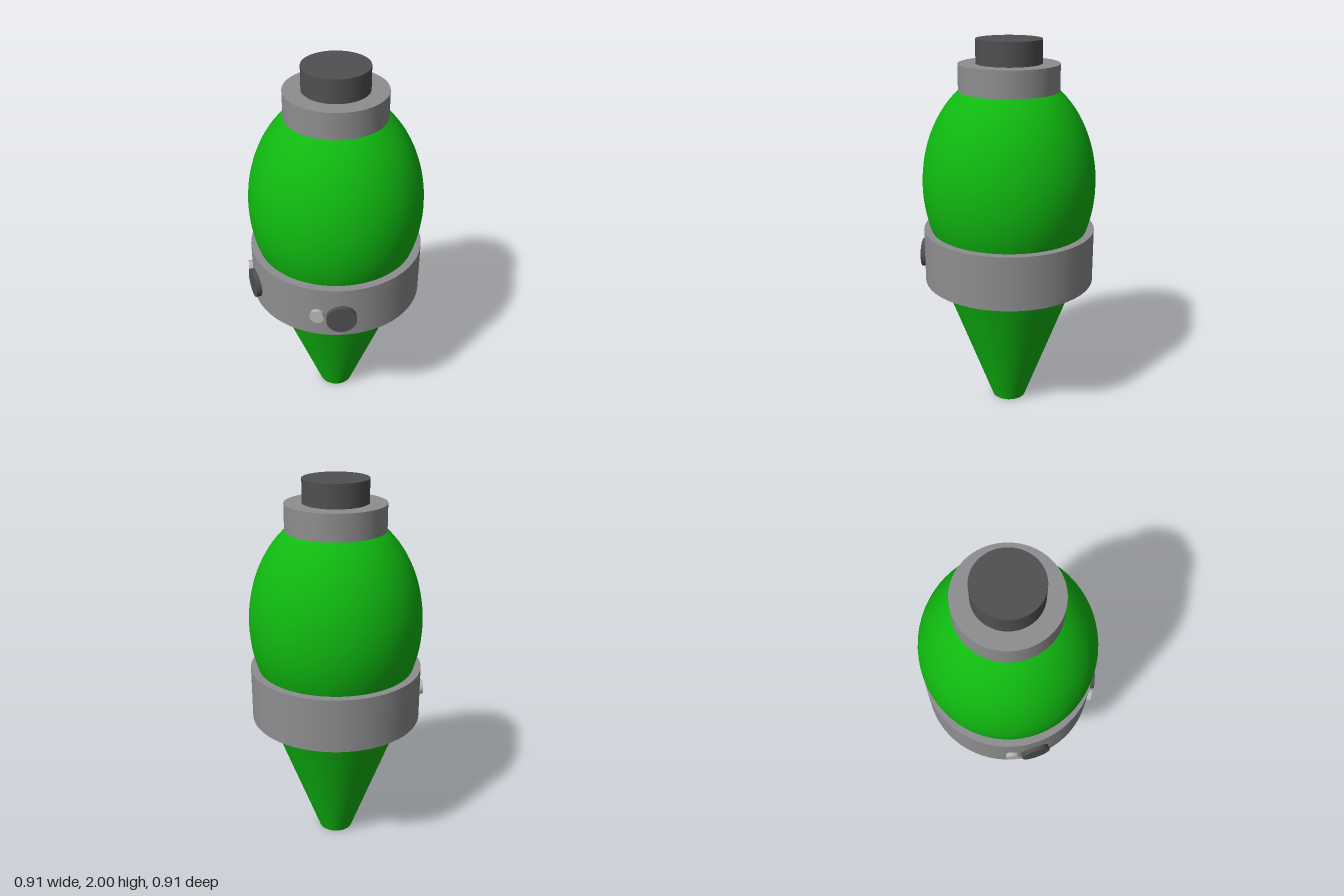
import * as THREE from 'three';

const paint = (color) => new THREE.MeshStandardMaterial({ color });

export function createModel() {
  const model = new THREE.Group();
  const green = paint(0x10b810);
  const grey = paint(0x8e8e90);
  const dark = paint(0x505052);
  const light = paint(0xb4b4b0);

  // Upright round part spanning y0 to y1
  function drum(name, rBottom, rTop, y0, y1, material) {
    const mesh = new THREE.Mesh(new THREE.CylinderGeometry(rTop, rBottom, y1 - y0, 64), material);
    mesh.name = name;
    mesh.position.y = (y0 + y1) / 2;
    model.add(mesh);
  }

  // Tapered base, its wide end hidden inside the band
  drum('taperedBase', 0.092, 0.388, 0, 0.8, green);

  // Egg-shaped body
  const body = new THREE.Mesh(new THREE.SphereGeometry(1, 64, 48), green);
  body.name = 'body';
  body.scale.set(0.452, 0.59, 0.452);
  body.position.y = 1.26;
  model.add(body);

  // Band, collar and cap
  drum('band', 0.453, 0.453, 0.73, 1.017, grey);
  drum('collar', 0.258, 0.258, 1.74, 1.88, grey);
  drum('cap', 0.168, 0.168, 1.88, 2, dark);

  // Round button on the band, facing outward at an angle from the front
  function button(name, degrees, y, radius, material) {
    const pivot = new THREE.Group();
    pivot.name = name;
    pivot.rotation.y = THREE.MathUtils.degToRad(degrees);
    const disc = new THREE.Mesh(new THREE.CylinderGeometry(radius, radius, 0.04, 32), material);
    disc.rotation.x = Math.PI / 2;
    disc.position.set(0, y, 0.454);
    pivot.add(disc);
    model.add(pivot);
  }
  button('rightLargeButton', -36, 0.845, 0.077, dark);
  button('leftLargeButton', 36, 0.845, 0.077, dark);
  button('rightSmallButton', -51.5, 0.858, 0.037, light);
  button('leftSmallButton', 20.7, 0.858, 0.037, light);

  return model;
}
